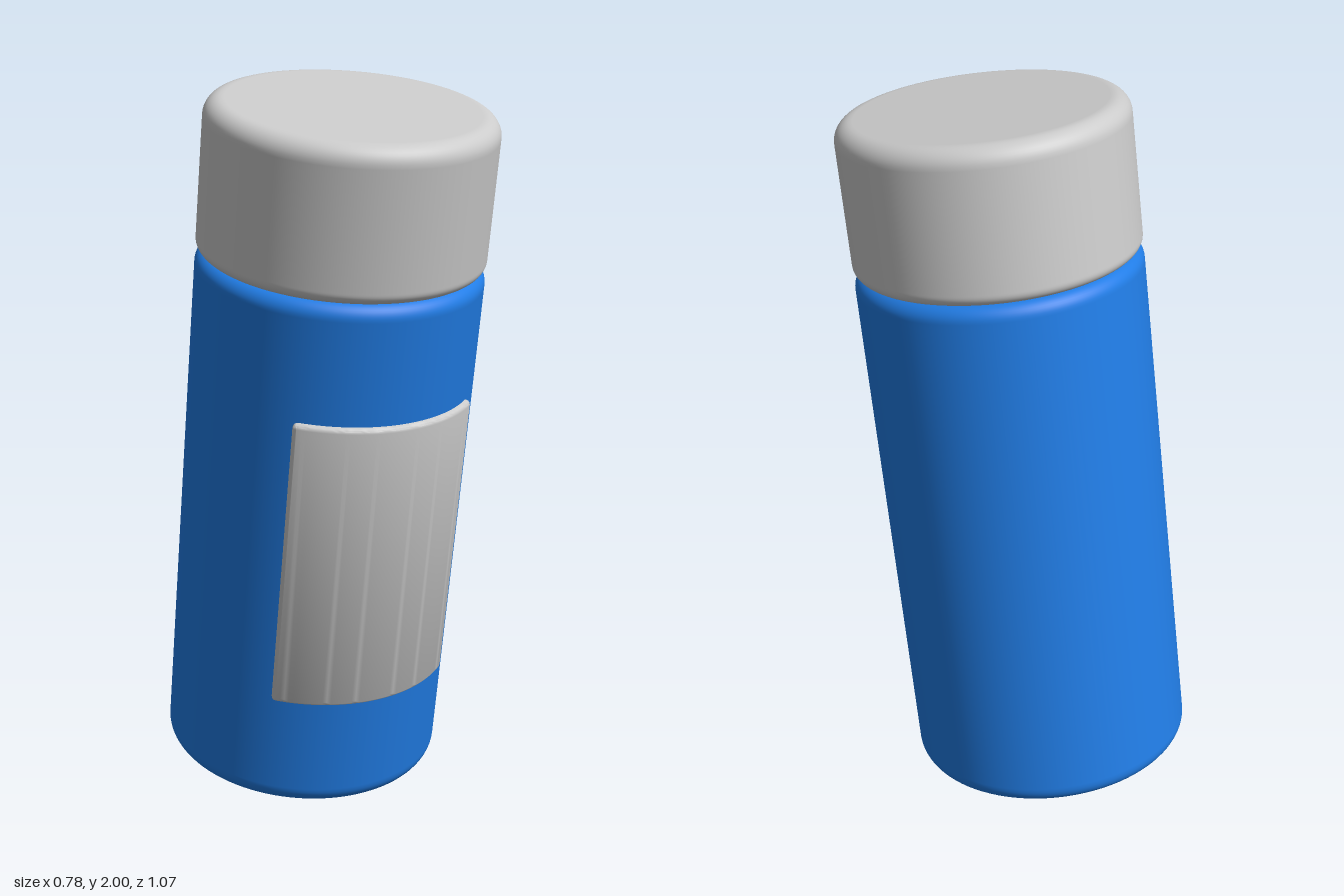
import * as THREE from 'three';
import { toCreasedNormals } from 'three/addons/utils/BufferGeometryUtils.js';

const R = 0.39;          // shared radius of body and cap
const TILT = 0.168;      // forward lean
const LENGTH = 1.912;    // along the axis
const SPLIT = 1.5;       // where the cap meets the body

// Solid cylinder from y0 to y1 with rounded rims
function roundedCylinder(r, y0, y1, f0, f1) {
  const pts = [new THREE.Vector2(0, y0), new THREE.Vector2(r - f0 - 0.004, y0)];
  const fillet = (f, cy, start) => {
    for (let i = 0; i <= 10; i++) {
      const a = start + (i / 10) * Math.PI / 2;
      pts.push(new THREE.Vector2(r - f + f * Math.cos(a), cy + f * Math.sin(a)));
    }
  };
  fillet(f0, y0 + f0, -Math.PI / 2);
  pts.push(new THREE.Vector2(r, y0 + f0 + 0.004), new THREE.Vector2(r, y1 - f1 - 0.004));
  fillet(f1, y1 - f1, 0);
  pts.push(new THREE.Vector2(r - f1 - 0.004, y1), new THREE.Vector2(0, y1));
  return new THREE.LatheGeometry(pts, 96);
}

// Curved plate wrapped around the front, with softened edges
function curvedPlate(rIn, rOut, half, y0, y1, bevel) {
  const mid = -Math.PI / 2;
  const at = (r, a) => [r * Math.cos(mid + a), r * Math.sin(mid + a)];
  const round = 0.015, da = round / rOut;
  const s = new THREE.Shape();
  s.moveTo(...at(rOut, -half + da));
  s.absarc(0, 0, rOut, mid - half + da, mid + half - da, false);
  s.quadraticCurveTo(...at(rOut, half), ...at(rOut - round, half));
  s.lineTo(...at(rIn, half));
  s.absarc(0, 0, rIn, mid + half, mid - half, true);
  s.lineTo(...at(rOut - round, -half));
  s.quadraticCurveTo(...at(rOut, -half), ...at(rOut, -half + da));
  const g = new THREE.ExtrudeGeometry(s, {
    depth: y1 - y0 - 2 * bevel, curveSegments: 24,
    bevelEnabled: true, bevelSize: bevel, bevelThickness: bevel, bevelOffset: -bevel, bevelSegments: 4,
  });
  g.rotateX(-Math.PI / 2);
  g.translate(0, y0 + bevel, 0);
  return toCreasedNormals(g, 0.7);
}

export function createModel() {
  const grey = new THREE.MeshStandardMaterial({ color: 0xcccccc });
  const blue = new THREE.MeshStandardMaterial({ color: 0x217de6 });
  const model = new THREE.Group();
  model.name = 'bottle';

  // Everything is built upright, then leaned forward together
  const tilted = new THREE.Group();
  tilted.name = 'tiltedBottle';
  tilted.position.set(0, 0.0575, -0.16);
  tilted.rotation.x = TILT;
  model.add(tilted);

  const add = (name, geometry, material) => {
    const mesh = new THREE.Mesh(geometry, material);
    mesh.name = name;
    tilted.add(mesh);
  };
  add('body', roundedCylinder(R, 0, SPLIT, 0.05, 0.04), blue);
  add('cap', roundedCylinder(R, SPLIT, LENGTH, 0.03, 0.05), grey);
  add('label', curvedPlate(0.365, 0.405, 0.73, 0.335, 1.17, 0.014), grey);
  return model;
}
